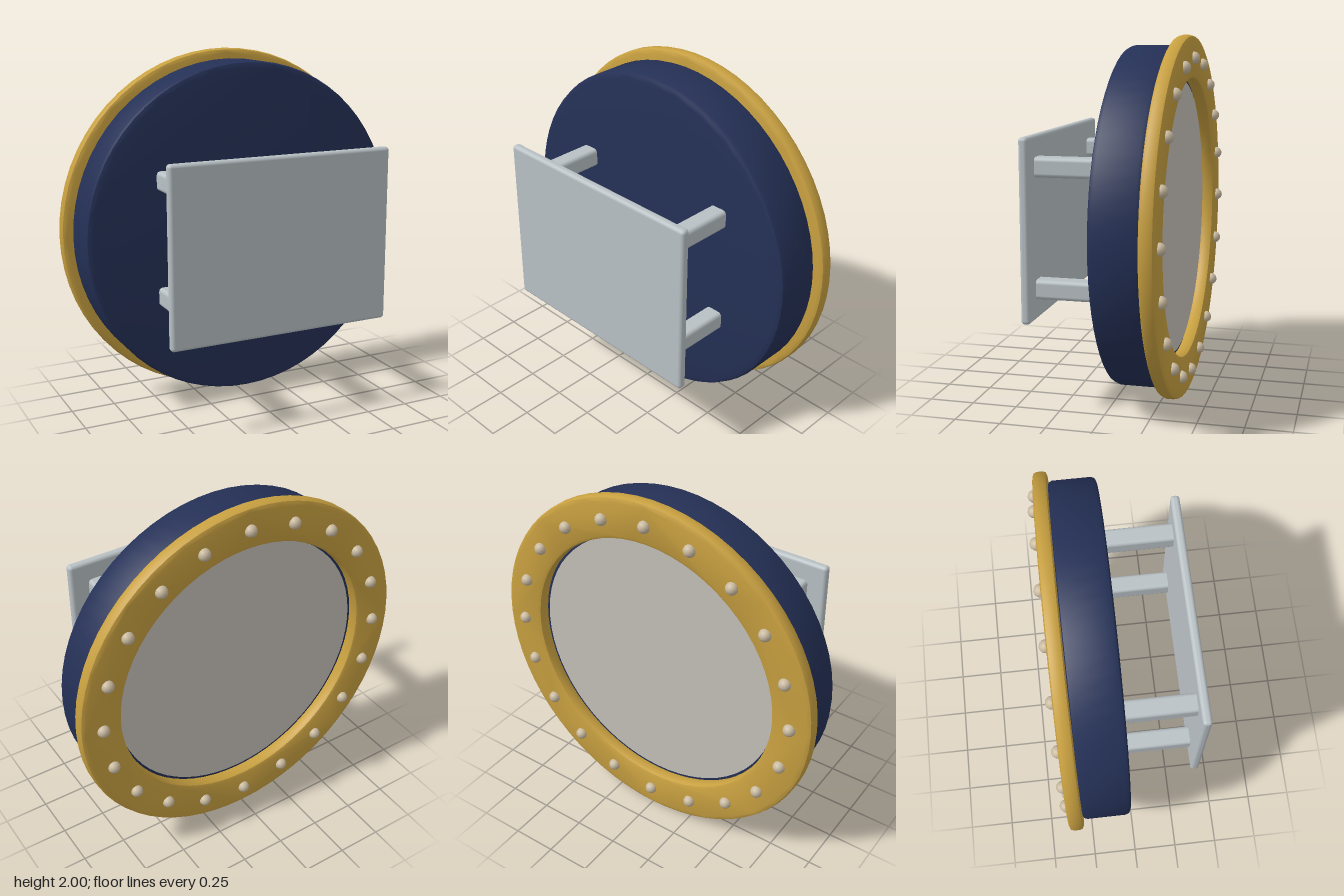
import * as THREE from 'three';
import { toCreasedNormals } from 'three/addons/utils/BufferGeometryUtils.js';
import { RoundedBoxGeometry } from 'three/addons/geometries/RoundedBoxGeometry.js';

const material = (name, color) => {
  const m = new THREE.MeshStandardMaterial({ color });
  m.name = name;
  return m;
};

// Bevelled disc or ring, facing z, between z0 and z1
function bevelledDisc(radius, holeRadius, z0, z1, bevel) {
  const shape = new THREE.Shape().absarc(0, 0, radius - bevel, 0, Math.PI * 2);
  if (holeRadius) {
    shape.holes.push(new THREE.Path().absarc(0, 0, holeRadius + bevel, 0, Math.PI * 2, true));
  }
  const geometry = new THREE.ExtrudeGeometry(shape, {
    depth: z1 - z0 - 2 * bevel,
    curveSegments: 32,
    bevelThickness: bevel,
    bevelSize: bevel,
    bevelSegments: 2,
  });
  geometry.translate(0, 0, z0 + bevel);
  return toCreasedNormals(geometry, 0.5);
}

export function createModel() {
  const navy = material('navy', 0x243056);
  const gold = material('gold', 0xc8a040);
  const steel = material('steel', 0xb9c1c5);
  const pale = material('pale face', 0xc5c1ba);
  const stud = material('beige stud', 0xc9baa0);

  const model = new THREE.Group();
  model.name = 'roundWallUnit';
  const body = new THREE.Group();
  body.name = 'body';
  body.position.y = 1;
  model.add(body);

  const add = (name, geometry, mat, x = 0, y = 0, z = 0) => {
    const mesh = new THREE.Mesh(geometry, mat);
    mesh.name = name;
    mesh.position.set(x, y, z);
    body.add(mesh);
    return mesh;
  };

  // Drum, rim and recessed face
  add('drum', bevelledDisc(0.945, 0, -0.295, -0.03, 0.026), navy);
  add('rim', bevelledDisc(1, 0.765, -0.37, -0.292, 0.022), gold);
  const face = new THREE.CylinderGeometry(0.755, 0.755, 0.012, 64).rotateX(Math.PI / 2);
  add('face', face, pale, 0, 0, -0.297);

  // Ring of studs around the rim
  const studGeometry = new THREE.SphereGeometry(0.034, 12, 8);
  for (let i = 0; i < 20; i++) {
    const a = (i / 20) * Math.PI * 2;
    add('stud', studGeometry, stud, 0.877 * Math.cos(a), 0.877 * Math.sin(a), -0.374);
  }

  // Mounting plate on four posts
  add('mountingPlate', new RoundedBoxGeometry(1.3, 0.98, 0.05, 3, 0.02), steel, 0, 0, 0.385);
  const post = new RoundedBoxGeometry(0.106, 0.106, 0.44, 2, 0.022);
  for (const x of [-0.49, 0.49]) {
    for (const y of [-0.325, 0.325]) add('post', post, steel, x, y, 0.165);
  }

  return model;
}
